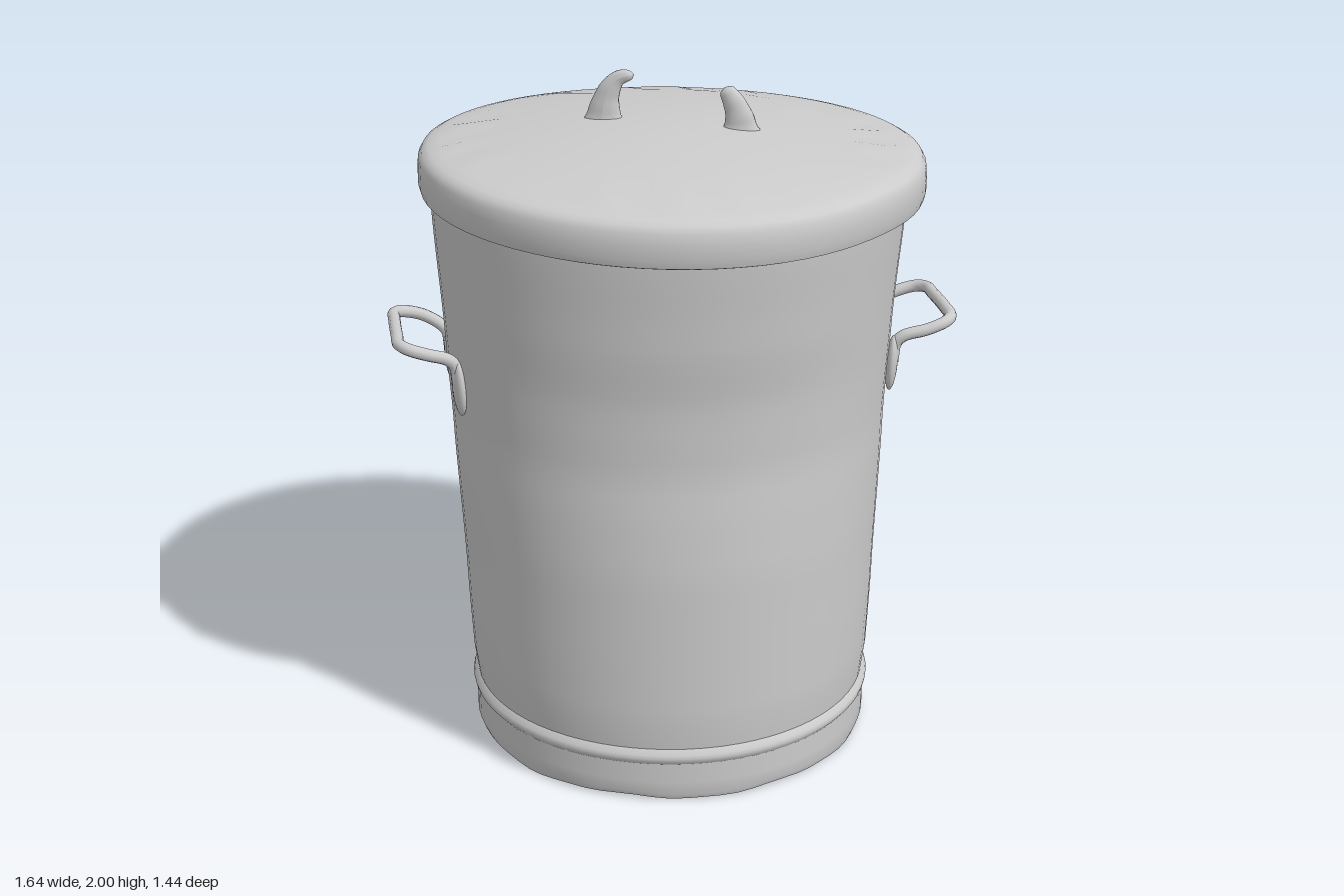
import * as THREE from 'three';
import { mergeVertices, toCreasedNormals } from 'three/addons/utils/BufferGeometryUtils.js';

const material = new THREE.MeshStandardMaterial({ color: 0xcccccc, side: THREE.DoubleSide });

function addMesh(parent, geometry, name) {
  const mesh = new THREE.Mesh(geometry, material);
  mesh.name = name;
  parent.add(mesh);
  return mesh;
}

// Turned shape whose vertices are then moved by a rule; creased normals
function lathe(points, segments, rule) {
  let geo = new THREE.LatheGeometry(points.map(([r, y]) => new THREE.Vector2(r, y)), segments);
  const pos = geo.attributes.position;
  const v = new THREE.Vector3();
  for (let i = 0; i < pos.count; i++) {
    v.fromBufferAttribute(pos, i);
    rule(v);
    pos.setXYZ(i, v.x, v.y, v.z);
  }
  geo.deleteAttribute('uv');
  geo.deleteAttribute('normal');
  geo = mergeVertices(geo, 1e-5);
  return toCreasedNormals(geo, 0.6);
}

// Smoothly eased lookup in a list of [height, value]
function lookup(list, y) {
  if (y <= list[0][0]) return list[0][1];
  for (let i = 1; i < list.length; i++) {
    const [y0, a] = list[i - 1];
    const [y1, b] = list[i];
    if (y <= y1) return a + (b - a) * THREE.MathUtils.smoothstep(y, y0, y1) * 0.4 + (b - a) * 0.6 * (y - y0) / (y1 - y0);
  }
  return list[list.length - 1][1];
}

// Body radius towards each of the four sides, slightly dented
const sides = {
  left: [[0.1, 0.588], [0.5, 0.605], [1, 0.625], [1.3, 0.642], [1.68, 0.672]],
  right: [[0.1, 0.603], [0.5, 0.622], [1, 0.648], [1.2, 0.66], [1.68, 0.69]],
  front: [[0.1, 0.588], [0.7, 0.588], [0.85, 0.58], [1, 0.569], [1.2, 0.577], [1.4, 0.605], [1.68, 0.632]],
  back: [[0.1, 0.59], [0.8, 0.598], [1.05, 0.6], [1.28, 0.604], [1.45, 0.622], [1.68, 0.638]],
};

function bodyRule(v) {
  const r = Math.hypot(v.x, v.z);
  if (r < 1e-6) return;
  const c = v.x / r, s = v.z / r, a = Math.atan2(s, c);
  const radius = c * c * lookup(c > 0 ? sides.left : sides.right, v.y)
    + s * s * lookup(s > 0 ? sides.front : sides.back, v.y);
  v.x = c * r * radius;
  v.z = s * r * radius;
  // uneven bottom edge
  if (v.y < 0.02) v.y += 0.006 + 0.004 * Math.sin(a * 7) + 0.002 * Math.sin(a * 17);
}

function buildBody() {
  const profile = [
    [0, 0.05], [0.5, 0.05], [0.92, 0.05], [0.94, 0.035], [0.95, 0], [0.99, 0],
    [1, 0.015], [1, 0.06], [1, 0.12], [1.012, 0.13], [1.015, 0.14], [1.01, 0.15], [0.988, 0.165],
  ];
  for (let y = 0.25; y < 1.76; y += 0.05) profile.push([1, y]);
  return lathe(profile, 72, bodyRule);
}

function buildLid() {
  const profile = [
    [0, 1.83], [0.4, 1.81], [0.66, 1.77], [0.69, 1.75], [0.698, 1.67], [0.705, 1.664], [0.715, 1.668],
    [0.721, 1.69], [0.721, 1.73], [0.718, 1.762], [0.708, 1.78], [0.69, 1.79], [0.66, 1.798],
    [0.6, 1.809], [0.5, 1.825], [0.4, 1.838], [0.25, 1.853], [0.12, 1.861], [0, 1.863],
  ];
  return lathe(profile, 72, v => {
    const r = Math.hypot(v.x, v.z);
    const a = Math.atan2(v.z, v.x);
    // gentle tilt and slightly wavy rim
    v.y += -0.016 * v.x + (r > 0.6 ? 0.003 * Math.sin(2 * a + 1) + 0.004 * Math.cos(2 * a) : 0);
    // flattened patch on the front left of the rim
    const k = 1 - 0.015 * Math.exp(-(((a - 0.85) / 0.3) ** 2));
    v.x *= k;
    v.z *= k;
  });
}

// Bent rod with a flattened tab at each end
function buildHandle(side) {
  const group = new THREE.Group();
  const wall = side > 0 ? 0.622 : 0.64;
  const lift = side > 0 ? 0 : 0.008;
  const half = [[wall, 1.16, 0.165], [wall + 0.008, 1.215, 0.165], [wall + 0.03, 1.238, 0.17],
    [0.72, 1.255, 0.175], [0.775, 1.271, 0.165], [0.8, 1.277, 0.135], [0.803, 1.279, 0.07]];
  const other = half.map(([x, y, z]) => [x, y - (y < 1.24 ? 0.015 : 0.004), -z - 0.005]).reverse();
  const path = [...half, ...other].map(([x, y, z]) => new THREE.Vector3(side * x, y + lift, z));
  addMesh(group, new THREE.TubeGeometry(new THREE.CatmullRomCurve3(path), 80, 0.018, 10), 'handleRod');
  for (const z of [0.165, -0.17]) {
    const tab = addMesh(group, new THREE.SphereGeometry(1, 16, 12), 'handleTab');
    tab.scale.set(0.018, 0.085, 0.036);
    tab.position.set(side * (wall - 0.002), z > 0 ? 1.155 : 1.135, z);
    tab.rotation.set(0, -side * z * 1.5, -side * 0.06);
  }
  return group;
}

// Tapering, flattened stub that leans along its local x
function buildStub(points, widths) {
  const curve = new THREE.CatmullRomCurve3(points.map(([x, y]) => new THREE.Vector3(x, y, 0)));
  const rings = 24, radial = 14;
  const geo = new THREE.TubeGeometry(curve, rings, 1, radial);
  const pos = geo.attributes.position;
  const v = new THREE.Vector3();
  for (let i = 0; i < pos.count; i++) {
    const t = Math.floor(i / (radial + 1)) / rings;
    const centre = curve.getPointAt(t);
    const cap = t > 0.9 ? Math.sqrt(Math.max(0, 1 - ((t - 0.9) / 0.1) ** 2)) : 1;
    v.fromBufferAttribute(pos, i).sub(centre).multiplyScalar(lookup(widths, t) * cap);
    v.z *= 0.45 + 0.35 * t;
    pos.setXYZ(i, centre.x + v.x, centre.y + v.y, v.z);
  }
  geo.computeVertexNormals();
  return geo;
}

export function createModel() {
  const model = new THREE.Group();
  model.name = 'dustbin';
  addMesh(model, buildBody(), 'body');
  addMesh(model, buildLid(), 'lid');

  for (const side of [1, -1]) {
    const handle = buildHandle(side);
    handle.name = side > 0 ? 'leftHandle' : 'rightHandle';
    model.add(handle);
  }

  // Two remains of the snapped lid grip
  const tall = addMesh(model, buildStub(
    [[0, -0.03], [0.004, 0.03], [0.018, 0.08], [0.045, 0.115], [0.09, 0.127]],
    [[0, 0.07], [0.22, 0.048], [0.5, 0.034], [0.8, 0.021], [1, 0.013]]), 'tallGripStub');
  tall.position.set(-0.185, 1.86, -0.08);
  tall.rotation.y = Math.atan2(-0.05, 0.13);

  const short = addMesh(model, buildStub(
    [[0, -0.03], [0.004, 0.02], [0.02, 0.065], [0.047, 0.108]],
    [[0, 0.065], [0.25, 0.045], [0.6, 0.033], [1, 0.021]]), 'shortGripStub');
  short.position.set(0.183, 1.86, 0.073);
  short.rotation.y = Math.atan2(0.025, -0.09);

  return model;
}
